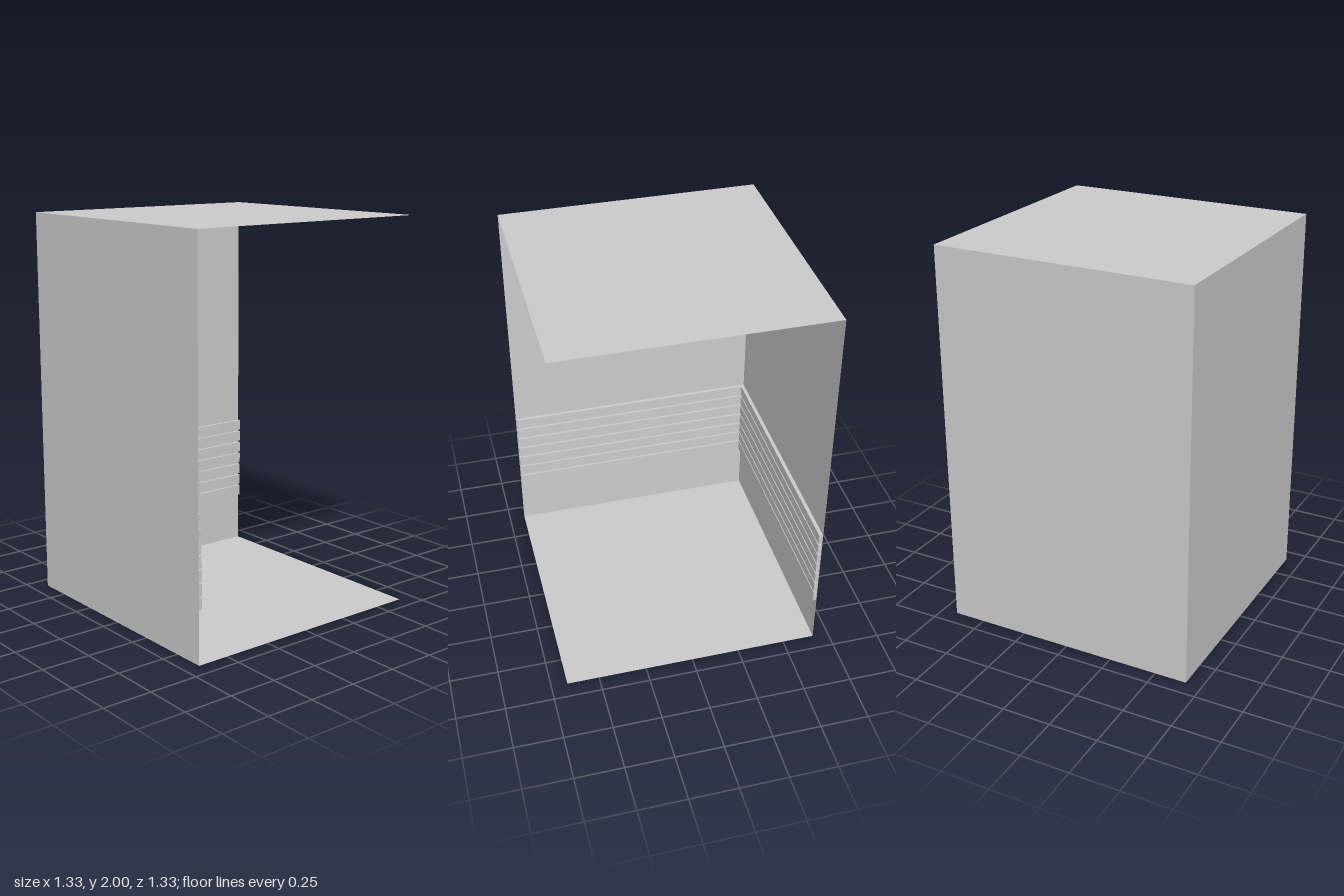
import * as THREE from 'three';

const W = 1.333, H = 2, HALF = W / 2;

const material = new THREE.MeshStandardMaterial({ color: 0xcccccc, flatShading: true, side: THREE.DoubleSide });

// Thin flat sheet
function sheet(name, width, height, position, rotation) {
  const mesh = new THREE.Mesh(new THREE.PlaneGeometry(width, height), material);
  mesh.name = name;
  mesh.position.set(...position);
  mesh.rotation.set(...rotation);
  return mesh;
}

// Grooved panel: seven slats on a thin backing, one profile run along the wall
function slatGeometry() {
  const count = 7, bottom = 0.27, slat = 0.057, pitch = 0.0665;
  const back = -HALF + 0.001, groove = -HALF + 0.005, face = -HALF + 0.02;
  const profile = new THREE.Shape();
  profile.moveTo(back, bottom);
  for (let i = 0; i < count; i++) {
    const y = bottom + i * pitch;
    if (i > 0) profile.lineTo(groove, y);
    profile.lineTo(face, y);
    profile.lineTo(face, y + slat);
    if (i < count - 1) profile.lineTo(groove, y + slat);
  }
  profile.lineTo(back, bottom + (count - 1) * pitch + slat);
  const length = W - 0.006;
  const geometry = new THREE.ExtrudeGeometry(profile, { depth: length, bevelEnabled: false });
  return geometry.translate(0, 0, -length / 2);
}

export function createModel() {
  const model = new THREE.Group();
  model.name = 'cornerRoom';

  // Floor and ceiling
  model.add(sheet('floor', W, W, [0, 0, 0], [-Math.PI / 2, 0, 0]));
  model.add(sheet('ceiling', W, W, [0, H, 0], [-Math.PI / 2, 0, 0]));

  // Two walls meeting in a corner; the other two sides are open
  model.add(sheet('frontWall', W, H, [0, H / 2, HALF], [0, 0, 0]));
  model.add(sheet('rightWall', W, H, [-HALF, H / 2, 0], [0, -Math.PI / 2, 0]));

  // Slatted panels on the inside of both walls
  const slats = slatGeometry();
  [['rightSlats', 0], ['frontSlats', Math.PI / 2]].forEach(([name, angle]) => {
    const panel = new THREE.Mesh(slats, material);
    panel.name = name;
    panel.rotation.y = angle;
    model.add(panel);
  });

  return model;
}
